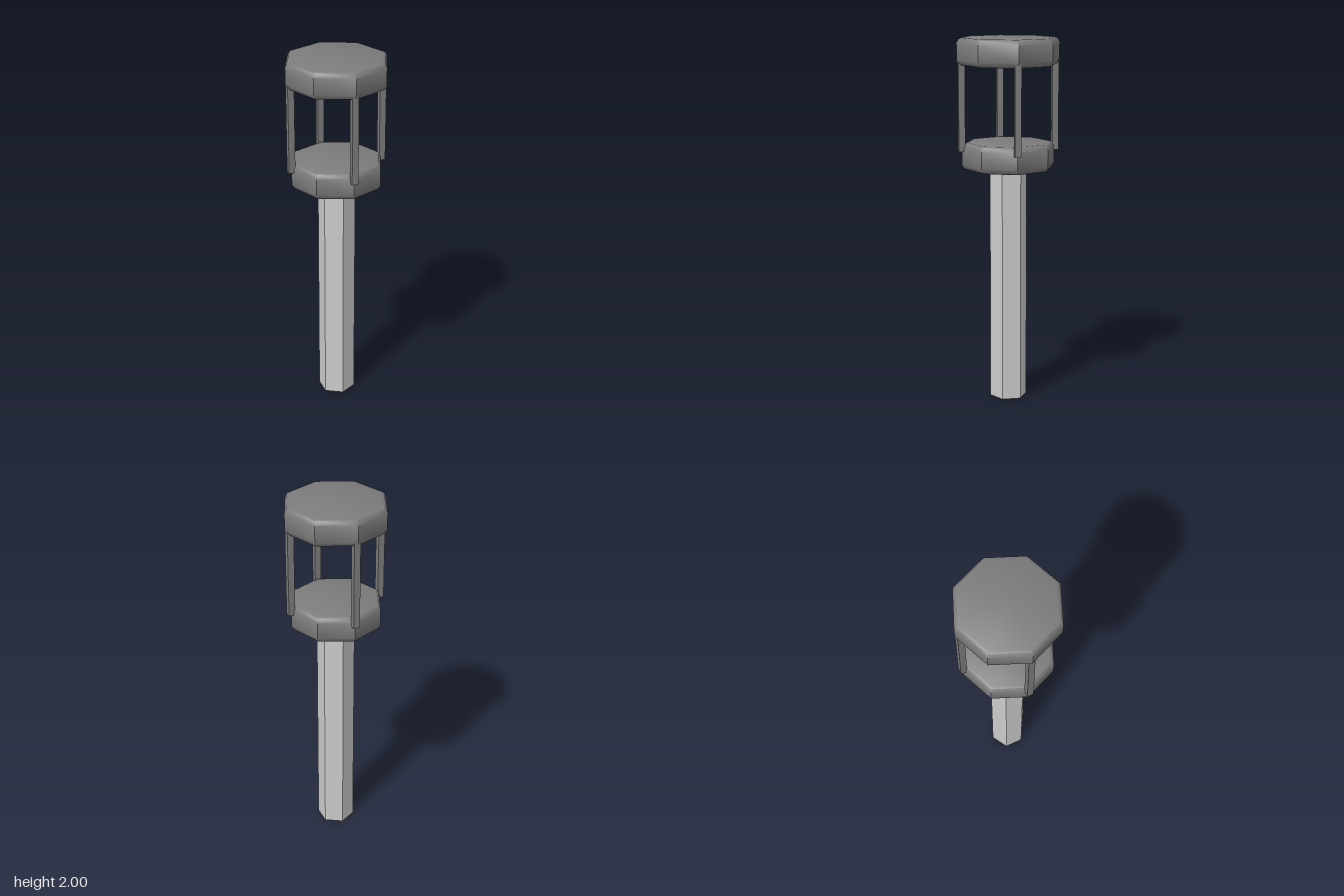
import * as THREE from 'three';
import { toCreasedNormals } from 'three/addons/utils/BufferGeometryUtils.js';

const light = new THREE.MeshStandardMaterial({ color: 0xcccccc });
const dark = new THREE.MeshStandardMaterial({ color: 0x7c7c7c });

function addPart(parent, name, geometry, material, x, y, z) {
  const mesh = new THREE.Mesh(geometry, material);
  mesh.name = name;
  mesh.position.set(x, y, z);
  parent.add(mesh);
  return mesh;
}

// Eight-sided slab with softened rims, corners on the axes
function slabGeometry(radius, height) {
  const profile = [
    [0, 0], [radius - 0.026, 0], [radius - 0.011, 0.006], [radius, 0.026],
    [radius, height - 0.026], [radius - 0.011, height - 0.006], [radius - 0.026, height], [0, height],
  ].map(([r, y]) => new THREE.Vector2(r, y));
  return toCreasedNormals(new THREE.LatheGeometry(profile, 8), 0.7);
}

export function createModel() {
  const model = new THREE.Group();
  model.name = 'lampPost';

  // Hexagonal pole, corners facing front and back
  const pole = toCreasedNormals(new THREE.CylinderGeometry(0.102, 0.102, 1.32, 6), 0.5);
  addPart(model, 'pole', pole, light, 0, 0.66, 0);

  // Lantern: lower tray, upper cap and four square bars between them
  const lantern = new THREE.Group();
  lantern.name = 'lantern';
  model.add(lantern);
  addPart(lantern, 'lanternBase', slabGeometry(0.255, 0.147), dark, 0, 1.29, 0);
  addPart(lantern, 'lanternCap', slabGeometry(0.282, 0.147), dark, 0, 1.853, 0);

  const bar = new THREE.BoxGeometry(0.035, 0.49, 0.035);
  for (let i = 0; i < 4; i++) {
    const a = (i * Math.PI) / 2;
    addPart(lantern, 'lanternBar', bar, dark, Math.sin(a) * 0.257, 1.635, Math.cos(a) * 0.257);
  }
  return model;
}
